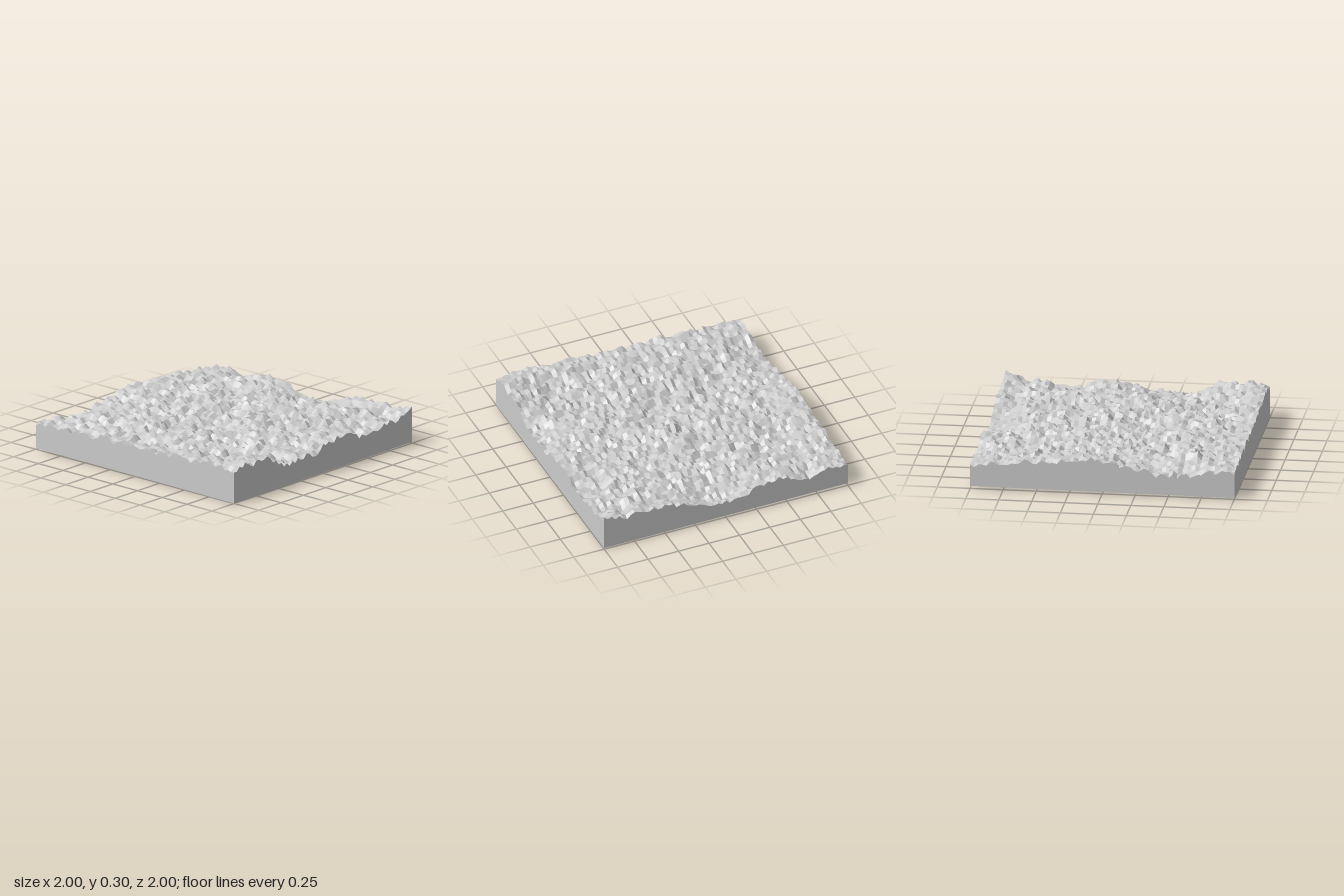
import * as THREE from 'three';

const N = 64; // terrain cells per side
const material = new THREE.MeshStandardMaterial({ color: 0xcccccc, roughness: 0.9 });
const { lerp, smoothstep } = THREE.MathUtils;

// Rim heights as [position, height] pairs along each side
const frontRim = [[-1, .25], [-.9, .28], [-.75, .265], [-.6, .25], [-.5, .2], [-.38, .14], [-.25, .18], [-.1, .17], [0, .22],
  [.15, .25], [.3, .25], [.4, .19], [.5, .16], [.6, .18], [.67, .22], [.85, .225], [.93, .26], [1, .28]];
const backRim = [[-1, .21], [-.83, .21], [-.65, .16], [-.4, .17], [-.28, .21], [-.12, .22], [.08, .255], [.31, .25], [.58, .23], [.8, .2], [1, .18]];
const rightRim = [[-1, .18], [-.8, .21], [-.7, .17], [-.6, .19], [-.45, .23], [-.3, .21], [-.2, .18], [-.1, .15], [0, .14],
  [.15, .15], [.25, .19], [.35, .21], [.45, .24], [.6, .25], [.75, .28], [.8, .23], [.86, .27], [1, .28]];
const leftRim = [[-1, .21], [-.8, .2], [-.4, .23], [0, .22], [.5, .25], [.8, .27], [1, .25]];

function sample(rim, t) {
  let i = 1;
  while (i < rim.length - 1 && rim[i][0] < t) i++;
  const [a, ya] = rim[i - 1], [b, yb] = rim[i];
  return lerp(ya, yb, (t - a) / (b - a));
}

// Seeded value noise in -1..1
function hash(i, j, seed) {
  let h = Math.imul(i + 101, 374761393) ^ Math.imul(j + 57, 668265263) ^ Math.imul(seed + 1, 974634777);
  h = Math.imul(h ^ (h >>> 13), 1274126177);
  return ((h ^ (h >>> 16)) >>> 0) / 2147483648 - 1;
}
function noise(x, z, frequency) {
  const u = (x + 1) / 2 * frequency, v = (z + 1) / 2 * frequency;
  const i = Math.floor(u), j = Math.floor(v);
  const s = smoothstep(u - i, 0, 1), t = smoothstep(v - j, 0, 1);
  const h = (a, b) => hash(i + a, j + b, frequency);
  return lerp(lerp(h(0, 0), h(1, 0), s), lerp(h(0, 1), h(1, 1), s), t);
}

// Ground height: the rims blended inward, plus rough fractal detail
function surfaceHeight(x, z) {
  const u = (x + 1) / 2, v = (z + 1) / 2;
  const acrossZ = lerp(sample(backRim, x), sample(frontRim, x), v);
  const acrossX = lerp(sample(leftRim, z), sample(rightRim, z), u);
  const corners = lerp(lerp(.21, .18, u), lerp(.25, .28, u), v);
  const inside = smoothstep(Math.min(1 - Math.abs(x), 1 - Math.abs(z)), 0, .35);
  const broad = .024 * noise(x, z, 5) + .018 * noise(x, z, 11);
  const fine = .018 * noise(x, z, 27) + .028 * noise(x, z, N);
  const y = lerp(acrossZ + acrossX - corners, .22 + broad, inside) + fine * lerp(.7, 1, inside);
  return THREE.MathUtils.clamp(y, .12, .305);
}

// The underside is very slightly tilted
const baseHeight = (x, z) => .01 + .005 * x - .005 * z;

// Give both triangles of every grid cell one shared normal
function facet(geometry) {
  const g = geometry.toNonIndexed();
  g.computeVertexNormals();
  const normals = g.attributes.normal, a = new THREE.Vector3(), b = new THREE.Vector3();
  for (let i = 0; i < normals.count; i += 6) {
    a.fromBufferAttribute(normals, i).add(b.fromBufferAttribute(normals, i + 3)).normalize();
    for (let k = 0; k < 6; k++) normals.setXYZ(i + k, a.x, a.y, a.z);
  }
  return g;
}

// Move the vertices of a grid by a rule, then facet it
function shapedMesh(name, geometry, rule) {
  const p = geometry.attributes.position;
  for (let i = 0; i < p.count; i++) p.setXYZ(i, ...rule(p.getX(i), p.getY(i), p.getZ(i)));
  const mesh = new THREE.Mesh(facet(geometry), material);
  mesh.name = name;
  return mesh;
}

export function createModel() {
  const model = new THREE.Group();
  model.name = 'terrainBlock';

  // Rough ground on top
  const ground = new THREE.PlaneGeometry(2, 2, N, N).rotateX(-Math.PI / 2);
  model.add(shapedMesh('terrainSurface', ground, (x, y, z) => [x, surfaceHeight(x, z), z]));

  // Four cut walls that follow the rim of the ground
  ['frontWall', 'leftWall', 'backWall', 'rightWall'].forEach((name, k) => {
    const wall = new THREE.PlaneGeometry(2, 2, N, 1).translate(0, 0, 1).rotateY(k * Math.PI / 2);
    model.add(shapedMesh(name, wall, (x, y, z) => [x, y > 0 ? surfaceHeight(x, z) : baseHeight(x, z), z]));
  });

  // Flat underside
  const underside = new THREE.PlaneGeometry(2, 2).rotateX(Math.PI / 2);
  model.add(shapedMesh('underside', underside, (x, y, z) => [x, baseHeight(x, z), z]));

  return model;
}
